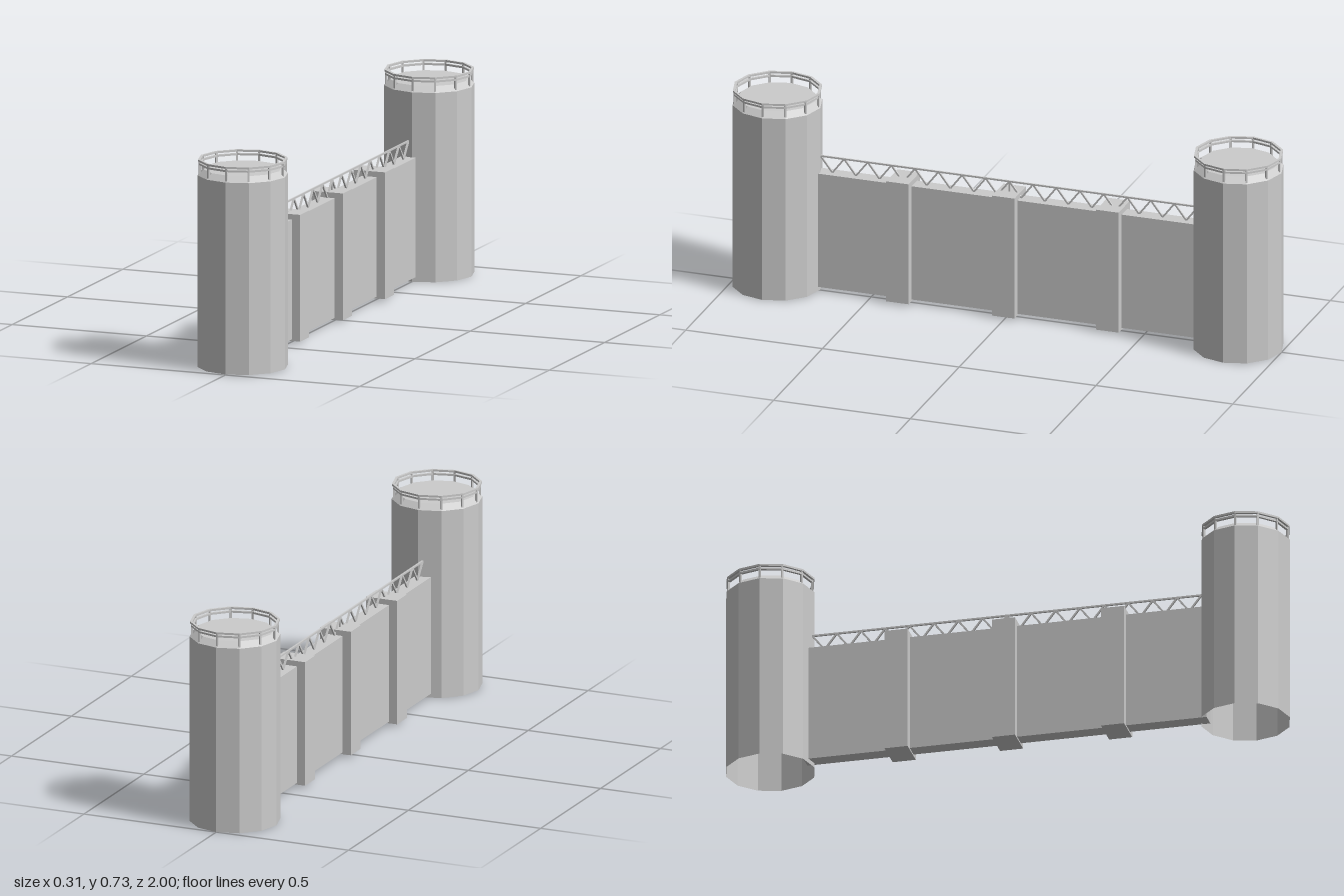
import * as THREE from 'three';

const material = new THREE.MeshStandardMaterial({ color: 0xcccccc, flatShading: true, side: THREE.DoubleSide });
const SIDES = 12;
const WALL_X = -0.015;

function add(parent, name, geometry, x = 0, y = 0, z = 0) {
  const mesh = new THREE.Mesh(geometry, material);
  mesh.name = name;
  mesh.position.set(x, y, z);
  parent.add(mesh);
  return mesh;
}

const lathe = (points) =>
  new THREE.LatheGeometry(points.map(([r, y]) => new THREE.Vector2(r, y)), SIDES);

// Square bar between two points in the plane of the wall
function addBar(parent, name, z1, y1, z2, y2, thickness) {
  const length = Math.hypot(z2 - z1, y2 - y1);
  const bar = add(parent, name, new THREE.BoxGeometry(thickness, thickness, length),
    WALL_X, (y1 + y2) / 2, (z1 + z2) / 2);
  bar.rotation.x = -Math.atan2(y2 - y1, z2 - z1);
}

// Twelve-sided tower, open below, with a bevelled deck and a railing
function createTower(name, z, bottom, shoulder) {
  const tower = new THREE.Group();
  tower.name = name;
  tower.position.z = z;
  add(tower, 'towerBody', lathe([[0.157, bottom], [0.157, shoulder], [0.135, shoulder + 0.02], [0, shoulder + 0.02]]));

  // Two faceted rails
  for (const [label, r, low] of [['lowerRail', 0.153, 0.036], ['topRail', 0.156, 0.048]]) {
    const y = shoulder + low, top = y + 0.007, inner = r - 0.009;
    add(tower, label, lathe([[inner, y], [r, y], [r, top], [inner, top], [inner, y]]));
  }

  // A post at every corner
  for (let i = 0; i < SIDES; i++) {
    const a = (i / SIDES) * Math.PI * 2;
    const post = add(tower, 'railPost', new THREE.BoxGeometry(0.007, 0.047, 0.007),
      Math.sin(a) * 0.149, shoulder + 0.0265, Math.cos(a) * 0.149);
    post.rotation.y = a;
  }
  return tower;
}

export function createModel() {
  const model = new THREE.Group();
  model.name = 'towerWall';

  model.add(createTower('frontTower', 0.843, 0.002, 0.677));
  model.add(createTower('backTower', -0.843, 0, 0.666));

  // Wall running into both towers
  add(model, 'wall', new THREE.BoxGeometry(0.055, 0.421, 1.43), WALL_X, 0.2265, 0);

  // Buttress pillars
  for (const z of [0.389, 0.002, -0.379])
    add(model, 'pillar', new THREE.BoxGeometry(0.117, 0.446, 0.082), WALL_X, 0.233, z);

  // Zigzag truss on top of the wall, in two spans
  const truss = new THREE.Group();
  truss.name = 'truss';
  model.add(truss);
  const low = 0.437, high = 0.493, teeth = 8, step = 0.69 / teeth;
  for (const side of [1, -1]) {
    addBar(truss, 'topChord', 0, high, side * 0.7, high, 0.006);
    for (let i = 0; i < teeth; i++) {
      const z = side * i * step, mid = z + side * step / 2, end = z + side * step;
      addBar(truss, 'diagonal', z, high, mid, low, 0.006);
      addBar(truss, 'diagonal', mid, low, end, high, 0.006);
    }
  }
  addBar(truss, 'centrePost', 0, low, 0, high, 0.006);

  return model;
}
